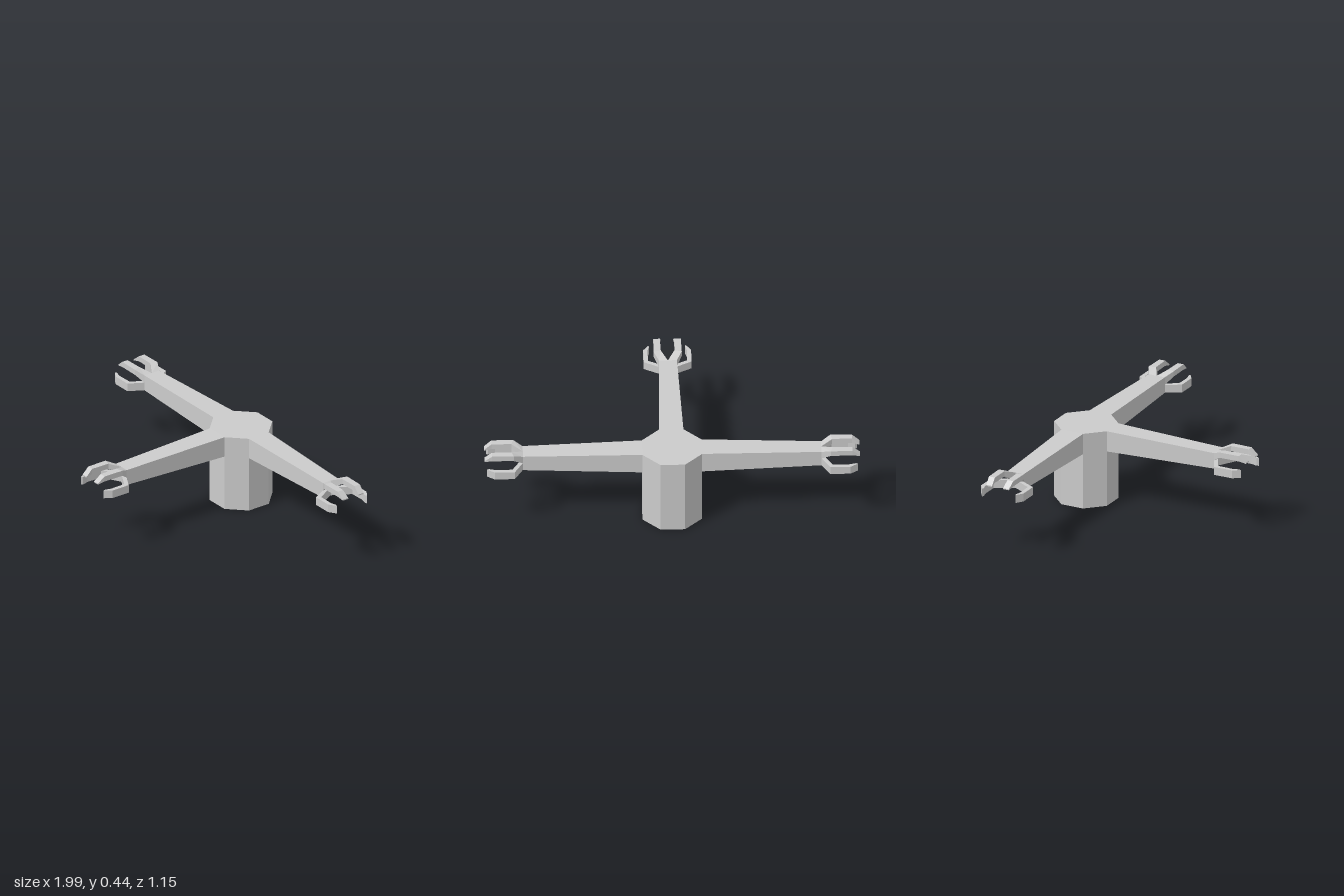
import * as THREE from 'three';

const material = new THREE.MeshStandardMaterial({ color: 0xcccccc, flatShading: true });

// Four-sided loft along +z. Each section: [inner x, inner z, outer x, outer z, bottom y, top y].
// side = -1 mirrors it across x.
function loft(name, sections, side = 1) {
  const rings = sections.map(([xi, zi, xo, zo, y0, y1]) => {
    const ring = [[xi, y0, zi], [xo, y0, zo], [xo, y1, zo], [xi, y1, zi]]
      .map(([x, y, z]) => [x * side, y, z]);
    return side < 0 ? ring.reverse() : ring;
  });
  const pos = [];
  const quad = (a, b, c, d) => pos.push(...a, ...b, ...c, ...a, ...c, ...d);
  for (let i = 0; i < rings.length - 1; i++) {
    for (let j = 0; j < 4; j++) {
      const k = (j + 1) % 4;
      quad(rings[i][j], rings[i][k], rings[i + 1][k], rings[i + 1][j]);
    }
  }
  const first = rings[0], last = rings[rings.length - 1];
  quad(first[3], first[2], first[1], first[0]);
  quad(...last);
  const geometry = new THREE.BufferGeometry();
  geometry.setAttribute('position', new THREE.Float32BufferAttribute(pos, 3));
  geometry.computeVertexNormals();
  const mesh = new THREE.Mesh(geometry, material);
  mesh.name = name;
  return mesh;
}

// One tapered arm with a four-fingered claw, pointing along +z
function makeArm(name) {
  const arm = new THREE.Group();
  arm.name = name;
  arm.add(loft('armBeam', [
    [-0.065, 0.157, 0.065, 0.157, 0.31, 0.425],
    [-0.048, 0.792, 0.048, 0.792, 0.325, 0.413],
  ]));
  for (const side of [1, -1]) {
    // upper finger: rises, runs level, then hooks down to a thin tip
    arm.add(loft('upperFinger', [
      [0, 0.79, 0.048, 0.792, 0.37, 0.413],
      [0.036, 0.85, 0.075, 0.84, 0.405, 0.435],
      [0.038, 0.955, 0.073, 0.955, 0.405, 0.435],
      [0.033, 0.995, 0.068, 0.995, 0.396, 0.402],
    ], side));
    // lower finger: spreads sideways, then curls inward at the tip
    arm.add(loft('lowerFinger', [
      [0, 0.79, 0.048, 0.792, 0.325, 0.37],
      [0.103, 0.848, 0.127, 0.836, 0.325, 0.37],
      [0.105, 0.935, 0.127, 0.942, 0.325, 0.37],
      [0.095, 0.972, 0.1, 0.983, 0.325, 0.37],
    ], side));
  }
  return arm;
}

export function createModel() {
  const model = new THREE.Group();
  model.name = 'threeArmedClawHub';

  // Octagonal post
  const radius = 0.158 / Math.cos(Math.PI / 8);
  const post = new THREE.Mesh(new THREE.CylinderGeometry(radius, radius, 0.425, 8), material);
  post.name = 'centralPost';
  post.rotation.y = Math.PI / 8;
  post.position.set(0, 0.2125, -0.42);
  model.add(post);

  // Arms to the front, left and right
  for (const [name, angle] of [['frontArm', 0], ['leftArm', Math.PI / 2], ['rightArm', -Math.PI / 2]]) {
    const arm = makeArm(name);
    arm.rotation.y = angle;
    arm.position.z = -0.42;
    model.add(arm);
  }
  return model;
}
